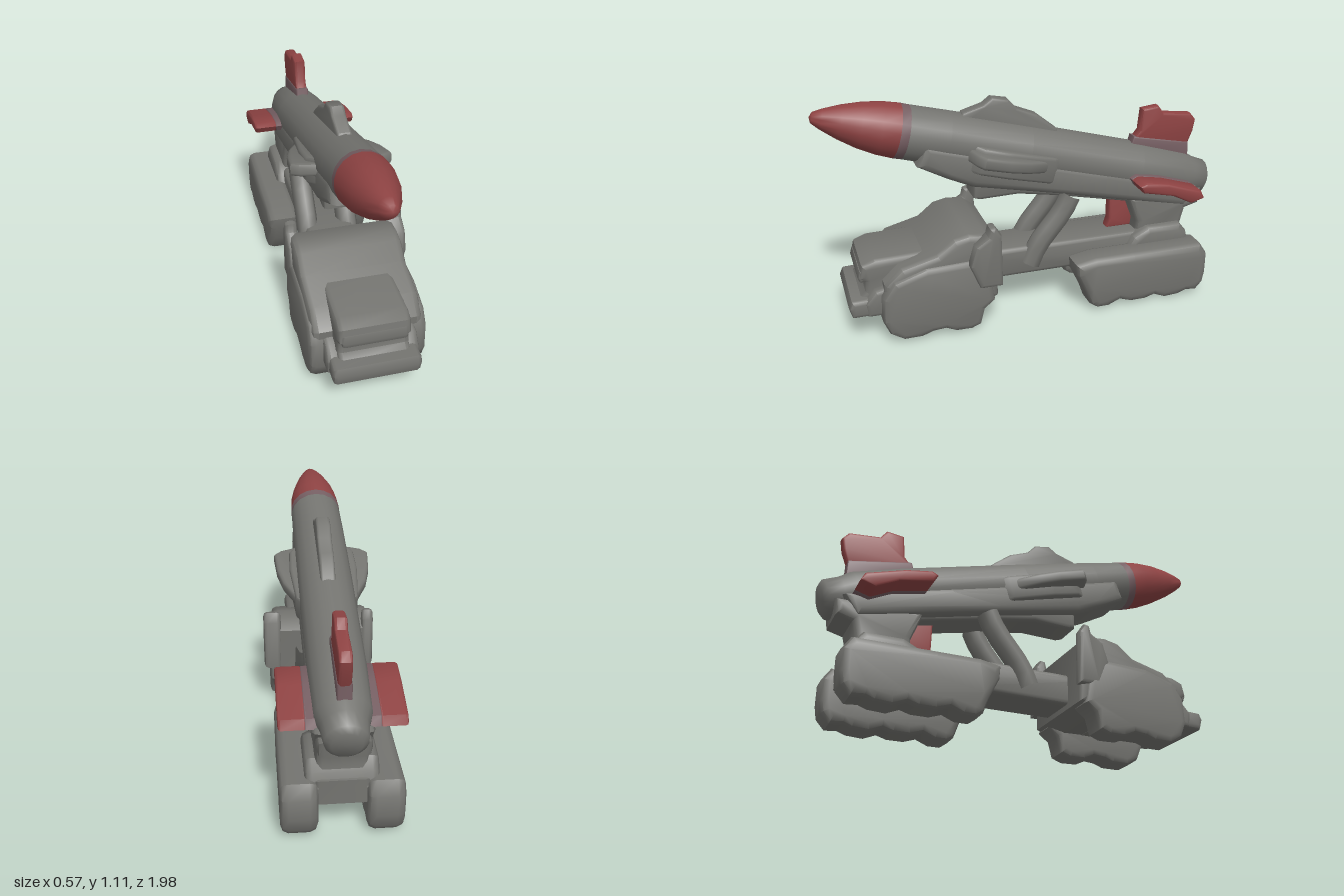
import * as THREE from 'three';
import { toCreasedNormals } from 'three/addons/utils/BufferGeometryUtils.js';

const grey = new THREE.MeshStandardMaterial({ color: 0x747470 });
grey.name = 'body grey';
const red = new THREE.MeshStandardMaterial({ color: 0x8e4343 });
red.name = 'warhead red';
const faded = new THREE.MeshStandardMaterial({ color: 0x755e62 });
faded.name = 'faded red';

const CX = -0.015; // the whole vehicle sits slightly off centre

function extrude(points, depth, bevel) {
  const shape = new THREE.Shape(points.map(([a, b]) => new THREE.Vector2(a, b)));
  const geo = new THREE.ExtrudeGeometry(shape, {
    depth: depth - 2 * bevel, steps: 1,
    bevelEnabled: true, bevelSize: bevel, bevelThickness: bevel,
    bevelOffset: -bevel, bevelSegments: 2,
  });
  geo.translate(0, 0, bevel);
  return geo;
}

function part(name, geo, mat, crease = 0.8) {
  const mesh = new THREE.Mesh(toCreasedNormals(geo, crease), mat);
  mesh.name = name;
  return mesh;
}

// Side profile given as [z, y], extruded across x0..x1
function slab(name, points, x0, x1, mat, bevel = 0.02) {
  const geo = extrude(points, x1 - x0, bevel);
  geo.rotateY(-Math.PI / 2);
  geo.translate(x1 + CX, 0, 0);
  return part(name, geo, mat);
}

// Plan outline given as [x, z], centred on height y
function plate(name, points, y, thickness, mat) {
  const geo = extrude(points, thickness, 0.015);
  geo.rotateX(Math.PI / 2);
  geo.translate(0, y + thickness / 2, 0);
  return part(name, geo, mat);
}

// Lathe around the z axis, profile given as [radius, z]
function turned(name, points, mat) {
  const geo = new THREE.LatheGeometry(points.map(([r, z]) => new THREE.Vector2(r, z)), 18);
  geo.rotateX(Math.PI / 2);
  return part(name, geo, mat, 0.9);
}

// Round bar along a smooth path
function bar(name, points, radius, mat) {
  const path = new THREE.CatmullRomCurve3(points.map((p) => new THREE.Vector3(...p)));
  return part(name, new THREE.TubeGeometry(path, 6, radius, 8), mat, 1);
}

function buildMissile() {
  const missile = new THREE.Group();
  missile.name = 'missile';
  const hull = new THREE.Group();
  hull.name = 'missileHull';
  hull.position.set(CX, 0.8, 0);
  hull.rotation.x = -0.259;
  hull.add(
    turned('hull', [[0, -1.015], [0.065, -1.015], [0.092, -0.995], [0.102, -0.92], [0.122, -0.86],
      [0.13, -0.6], [0.132, 0], [0.13, 0.4], [0.127, 0.59]], grey),
    turned('noseBand', [[0.127, 0.59], [0.128, 0.63]], faded),
    turned('nose', [[0.128, 0.63], [0.122, 0.71], [0.105, 0.8], [0.078, 0.89],
      [0.046, 0.97], [0.025, 1.01], [0, 1.02]], red),
  );
  // Mid wings and their sloping roots
  for (const s of [-1, 1]) {
    hull.add(plate('midWing', [[0.08, -0.16], [0.14, -0.1], [0.2, 0.02], [0.225, 0.12],
      [0.235, 0.25], [0.2, 0.28], [0.08, 0.32]].map(([x, z]) => [s * x, z]), -0.03, 0.06, grey));
    hull.add(plate('wingRoot', [[0.08, -0.2], [0.145, -0.12], [0.165, 0.1], [0.16, 0.24],
      [0.08, 0.34]].map(([x, z]) => [s * x, z]), -0.045, 0.13, grey));
  }
  missile.add(hull);

  missile.add(slab('dorsalWing', [[0.34, 0.95], [0.3, 1.02], [0.2, 1.05], [0.16, 1.08], [0.08, 1.065],
    [0.04, 1.02], [-0.06, 0.98], [-0.16, 0.9], [-0.2, 0.8]], -0.035, 0.035, grey, 0.012));
  // Tail fins: upper, lower and the side pair
  missile.add(slab('upperFinRoot', [[-0.55, 0.74], [-0.57, 0.815], [-0.875, 0.755], [-0.88, 0.62]],
    -0.032, 0.032, faded, 0.008));
  missile.add(slab('upperFin', [[-0.565, 0.79], [-0.605, 0.84], [-0.615, 0.95], [-0.7, 0.96],
    [-0.73, 0.92], [-0.88, 0.905], [-0.91, 0.87], [-0.9, 0.81], [-0.865, 0.72]],
    -0.028, 0.028, red, 0.012));
  missile.add(slab('lowerFin', [[-0.45, 0.56], [-0.455, 0.38], [-0.44, 0.33], [-0.58, 0.33],
    [-0.62, 0.42], [-0.64, 0.54]], -0.03, 0.03, red, 0.012));
  const sideFin = [[-0.51, 0.64], [-0.54, 0.655], [-0.66, 0.635], [-0.84, 0.58], [-0.86, 0.54],
    [-0.79, 0.52], [-0.69, 0.57], [-0.53, 0.605]];
  for (const s of [-1, 1]) {
    const span = (a, b) => (s > 0 ? [a, b] : [-b, -a]);
    missile.add(slab('sideFinRoot', sideFin, ...span(0.09, 0.16), faded, 0.008));
    missile.add(slab('sideFin', sideFin, ...span(0.15, 0.268), red, 0.012));
  }
  return missile;
}

function buildLauncher() {
  const launcher = new THREE.Group();
  launcher.name = 'launcher';
  // Rail under the missile and its narrow keel
  launcher.add(slab('rail', [[0.54, 0.81], [0.4, 0.735], [0.28, 0.68], [-0.15, 0.59], [-0.5, 0.51],
    [-0.83, 0.44], [-0.9, 0.54], [-0.4, 0.68], [0.5, 0.92]], -0.13, 0.13, grey, 0.035));
  launcher.add(slab('keel', [[0.27, 0.61], [0.24, 0.6], [0.05, 0.605], [-0.15, 0.57], [-0.5, 0.495],
    [-0.82, 0.42], [-0.82, 0.5], [-0.2, 0.65], [0.27, 0.75]], -0.09, 0.09, grey));
  // Rear pivot pillar, standing on a broad foot
  launcher.add(slab('pillar', [[-0.56, 0.24], [-0.575, 0.38], [-0.52, 0.52], [-0.93, 0.52],
    [-0.92, 0.44], [-0.845, 0.42], [-0.825, 0.34], [-0.86, 0.24]], -0.115, 0.115, grey, 0.03));
  launcher.add(slab('pillarFoot', [[-0.5, 0.24], [-0.54, 0.32], [-0.62, 0.36], [-0.8, 0.36],
    [-0.84, 0.31], [-0.86, 0.24]], -0.16, 0.16, grey, 0.03));
  // Lifting struts
  for (const s of [-1, 1]) {
    const x = CX + s * 0.102;
    launcher.add(bar('strut', [[x, 0.24, 0.0], [x, 0.33, -0.04], [x, 0.5, -0.17], [x, 0.58, -0.21]],
      0.054, grey));
  }
  return launcher;
}

function buildTruck() {
  const truck = new THREE.Group();
  truck.name = 'truck';
  truck.add(slab('chassis', [[0.3, 0.185], [0.3, 0.33], [0.15, 0.335], [-0.6, 0.335], [-0.65, 0.3],
    [-0.86, 0.28], [-0.86, 0.16], [-0.25, 0.185]], -0.12, 0.12, grey));

  // Cab with sloping windscreen
  truck.add(slab('cab', [[0.2, 0.16], [0.2, 0.45], [0.26, 0.495], [0.34, 0.5], [0.41, 0.485], [0.49, 0.42],
    [0.66, 0.375], [0.74, 0.3], [0.74, 0.14], [0.3, 0.13]], -0.255, 0.25, grey, 0.03));
  truck.add(slab('hood', [[0.4, 0.13], [0.4, 0.41], [0.77, 0.4], [0.83, 0.375], [0.845, 0.31],
    [0.82, 0.29], [0.82, 0.24], [0.86, 0.2], [0.84, 0.13]], -0.165, 0.165, grey, 0.025));
  truck.add(slab('bumper', [[0.78, 0.13], [0.78, 0.22], [0.89, 0.215], [0.905, 0.18], [0.89, 0.13]],
    -0.2, 0.2, grey, 0.02));
  truck.add(slab('grilleLip', [[0.78, 0.29], [0.78, 0.35], [0.84, 0.345], [0.85, 0.31], [0.84, 0.285]],
    -0.15, 0.15, grey, 0.015));

  // Wheel blocks with fenders, mirrored
  const front = [[0.22, 0.15], [0.27, 0.11], [0.29, 0.03], [0.34, 0.01], [0.42, 0.012], [0.47, 0.035],
    [0.53, 0.03], [0.58, 0.012], [0.67, 0.012], [0.73, 0.05], [0.76, 0.12], [0.755, 0.24],
    [0.7, 0.32], [0.55, 0.37], [0.25, 0.38]];
  const rear = [[-0.195, 0.26], [-0.2, 0.2], [-0.25, 0.1], [-0.275, 0.03], [-0.31, 0.005], [-0.37, 0.005],
    [-0.43, 0.03], [-0.49, 0.01], [-0.57, 0.01], [-0.62, 0.025], [-0.68, 0], [-0.76, 0.005],
    [-0.8, 0.02], [-0.86, 0.015], [-0.9, 0.06], [-0.91, 0.12], [-0.91, 0.22], [-0.87, 0.28],
    [-0.5, 0.28], [-0.3, 0.28]];
  for (const s of [-1, 1]) {
    const span = (a, b) => (s > 0 ? [a, b] : [-b, -a]);
    truck.add(slab('frontWheels', front, ...span(0.125, 0.27), grey, 0.03));
    truck.add(slab('rearWheels', rear, ...span(0.105, 0.268), grey, 0.035));
    // Upright behind the cab
    truck.add(slab('cabPost', [[0.19, 0.24], [0.195, 0.5], [0.225, 0.545], [0.25, 0.54], [0.26, 0.5],
      [0.32, 0.46], [0.35, 0.36], [0.3, 0.24]], ...span(0.21, s > 0 ? 0.3 : 0.27), grey, 0.02));
    // Headlamp corner beside the hood
    truck.add(slab('lampCorner', [[0.68, 0.13], [0.68, 0.28], [0.78, 0.26], [0.83, 0.2], [0.82, 0.13]],
      ...span(0.13, 0.21), grey, 0.02));
  }
  return truck;
}

export function createModel() {
  const model = new THREE.Group();
  model.name = 'missileTruck';
  model.add(buildTruck(), buildLauncher(), buildMissile());
  return model;
}
